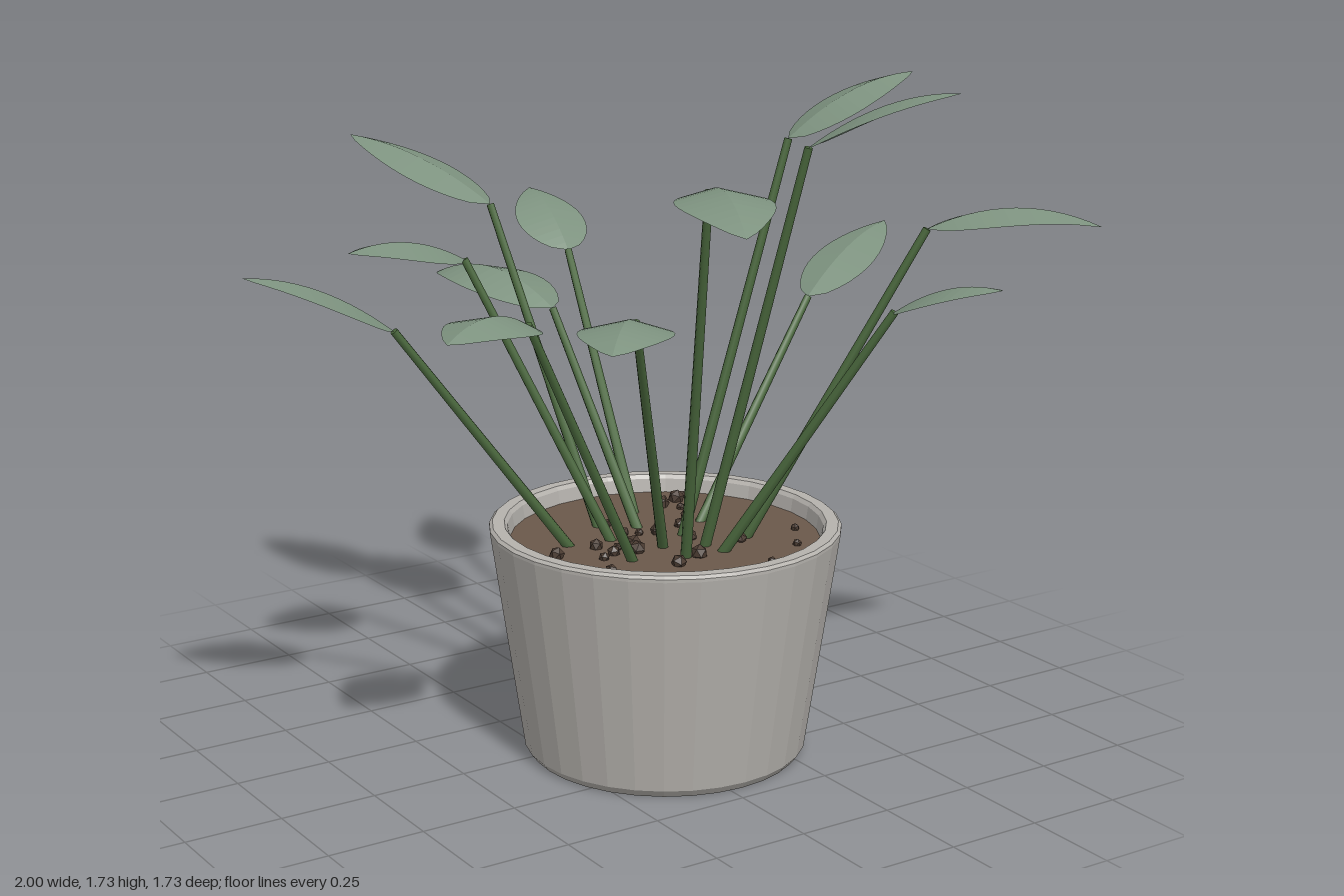
import * as THREE from 'three';

const mat = (name, color, extra = {}) => {
  const m = new THREE.MeshStandardMaterial({ color, ...extra });
  m.name = name;
  return m;
};

const POT = { x: 0.033, z: 0.104 };
const SOIL_Y = 0.555;

// stem root [x, z], leaf base [x, y, z], leaf tip [x, y, z], width, arch height
const LEAVES = [
  [[0.08, -0.11], [0.165, 1.16, -0.57], [0.22, 1.28, -0.865], 0.19, 0.03],
  [[0.02, 0.0], [-0.03, 1.07, -0.33], [-0.13, 1.10, -0.765], 0.245, 0.06],
  [[-0.06, -0.06], [-0.18, 1.35, -0.385], [-0.38, 1.495, -0.765], 0.2, 0.03],
  [[-0.09, 0.05], [-0.395, 1.275, -0.14], [-0.68, 1.31, -0.2], 0.215, 0.035],
  [[-0.2, 0.03], [-0.65, 1.15, -0.03], [-1.0, 1.305, -0.105], 0.19, 0.035],
  [[-0.13, 0.21], [-0.5, 1.22, 0.34], [-0.76, 1.225, 0.43], 0.23, 0.04],
  [[-0.01, 0.16], [-0.28, 1.22, 0.45], [-0.49, 1.215, 0.68], 0.22, 0.035],
  [[-0.01, 0.26], [-0.115, 1.515, 0.5], [-0.25, 1.475, 0.84], 0.225, 0.045],
  [[0.08, 0.21], [0.195, 1.58, 0.46], [0.39, 1.73, 0.775], 0.19, 0.035],
  [[0.09, 0.27], [0.36, 1.19, 0.59], [0.46, 1.28, 0.86], 0.19, 0.03],
  [[0.2, 0.21], [0.55, 1.35, 0.47], [0.94, 1.345, 0.665], 0.2, 0.05],
  [[0.08, 0.11], [0.36, 1.545, 0.155], [0.71, 1.69, 0.2], 0.19, 0.035],
  [[0.18, 0.04], [0.62, 1.065, -0.1], [0.995, 1.205, -0.255], 0.18, 0.03],
];

// pebbles on the soil: x, z, radius
const PEBBLES = [
  [0.17, -0.12, 0.022], [0.23, -0.14, 0.022], [0.26, -0.16, 0.013], [0.2, -0.075, 0.012],
  [0.19, -0.03, 0.012], [0.17, 0.0, 0.018], [0.115, 0.05, 0.017], [0.08, 0.15, 0.017],
  [0.035, 0.07, 0.022], [-0.01, 0.05, 0.012], [-0.045, 0.03, 0.016], [-0.04, -0.055, 0.013],
  [-0.16, 0.085, 0.018], [-0.28, 0.095, 0.02], [-0.08, 0.13, 0.024], [-0.12, 0.12, 0.013],
  [-0.15, 0.15, 0.017], [-0.19, 0.17, 0.014], [-0.09, 0.165, 0.022], [-0.23, 0.265, 0.016],
  [0.02, 0.275, 0.022], [-0.06, 0.305, 0.02], [0.175, 0.23, 0.018], [0.22, 0.2, 0.012],
  [0.345, 0.23, 0.012], [0.275, 0.335, 0.012], [0.14, 0.415, 0.012],
];

const faceted = (geo) => {
  const g = geo.index ? geo.toNonIndexed() : geo;
  g.computeVertexNormals();
  return g;
};

// Arched leaf with a ridge along the midrib and edges falling away
function leafGeometry(base, tip, width, arch) {
  const N = 14;
  const a = new THREE.Vector3(...base), b = new THREE.Vector3(...tip);
  const dir = b.clone().sub(a);
  const side = new THREE.Vector3(0, 1, 0).cross(dir).normalize();
  const pos = [], idx = [];
  for (let i = 0; i <= N; i++) {
    const t = i / N;
    const half = (width / 2) * Math.pow(Math.sin(Math.PI * Math.pow(t, 0.82)), 0.8) || 0;
    const mid = a.clone().addScaledVector(dir, t);
    mid.y += 4 * arch * t * (1 - t);
    for (const s of [1, 0, -1]) {
      const p = mid.clone().addScaledVector(side, s * half);
      p.y -= Math.abs(s) * half * 0.25;
      pos.push(p.x, p.y, p.z);
    }
    if (i === N) break;
    for (const k of [0, 1]) {
      const q = i * 3 + k;
      idx.push(q, q + 1, q + 3, q + 1, q + 4, q + 3);
    }
  }
  // wind every face upward
  for (let i = 0; i < idx.length; i += 3) {
    const [p, q, r] = [0, 1, 2].map((k) => new THREE.Vector3().fromArray(pos, idx[i + k] * 3));
    if (q.sub(p).cross(r.sub(p)).y < 0) [idx[i + 1], idx[i + 2]] = [idx[i + 2], idx[i + 1]];
  }
  const g = new THREE.BufferGeometry();
  g.setAttribute('position', new THREE.Float32BufferAttribute(pos, 3));
  g.setIndex(idx);
  return faceted(g);
}

// Straight tapered stem between two points
function stemMesh(from, to, material) {
  const d = to.clone().sub(from);
  const m = new THREE.Mesh(new THREE.CylinderGeometry(0.01, 0.014, d.length(), 8), material);
  m.position.copy(from).addScaledVector(d, 0.5);
  m.quaternion.setFromUnitVectors(new THREE.Vector3(0, 1, 0), d.normalize());
  return m;
}

export function createModel() {
  const model = new THREE.Group();
  model.name = 'pottedPlant';
  const potMat = mat('potGrey', 0xb5b2ad);
  const soilMat = mat('soilBrown', 0x6b584a);
  const pebbleMat = mat('pebbleBrown', 0x4a3b31);
  const stemMat = mat('stemGreen', 0x4a683d);
  const leafMat = mat('leafGreen', 0x7d927f, { side: THREE.DoubleSide });

  const add = (name, geo, material, x = 0, y = 0, z = 0, parent = model) => {
    const m = new THREE.Mesh(geo, material);
    m.name = name;
    m.position.set(x, y, z);
    parent.add(m);
    return m;
  };

  // Hollow tapered pot with bevelled rim and foot
  const profile = [
    [0.3, 0], [0.345, 0], [0.36, 0.02], [0.443, 0.585], [0.443, 0.593], [0.435, 0.6],
    [0.405, 0.6], [0.397, 0.59], [0.3, 0],
  ].map((p) => new THREE.Vector2(...p));
  add('pot', faceted(new THREE.LatheGeometry(profile, 32)), potMat, POT.x, 0, POT.z);

  // Soil disc
  add('soil', new THREE.CylinderGeometry(0.393, 0.385, 0.03, 32), soilMat, POT.x, SOIL_Y - 0.015, POT.z);

  // Pebbles
  const pebbles = new THREE.Group();
  pebbles.name = 'pebbles';
  model.add(pebbles);
  PEBBLES.forEach(([x, z, r], i) => {
    const p = add('pebble', new THREE.IcosahedronGeometry(r, 0), pebbleMat, x, SOIL_Y + r * 0.4, z, pebbles);
    p.rotation.set(i * 0.7, i * 1.3, 0);
  });

  // Stems and leaves
  for (const [root, base, tip, width, arch] of LEAVES) {
    const shoot = new THREE.Group();
    shoot.name = 'shoot';
    const stem = stemMesh(
      new THREE.Vector3(root[0], SOIL_Y - 0.01, root[1]), new THREE.Vector3(...base), stemMat);
    stem.name = 'stem';
    shoot.add(stem);
    add('leaf', leafGeometry(base, tip, width, arch), leafMat, 0, 0, 0, shoot);
    model.add(shoot);
  }
  return model;
}
